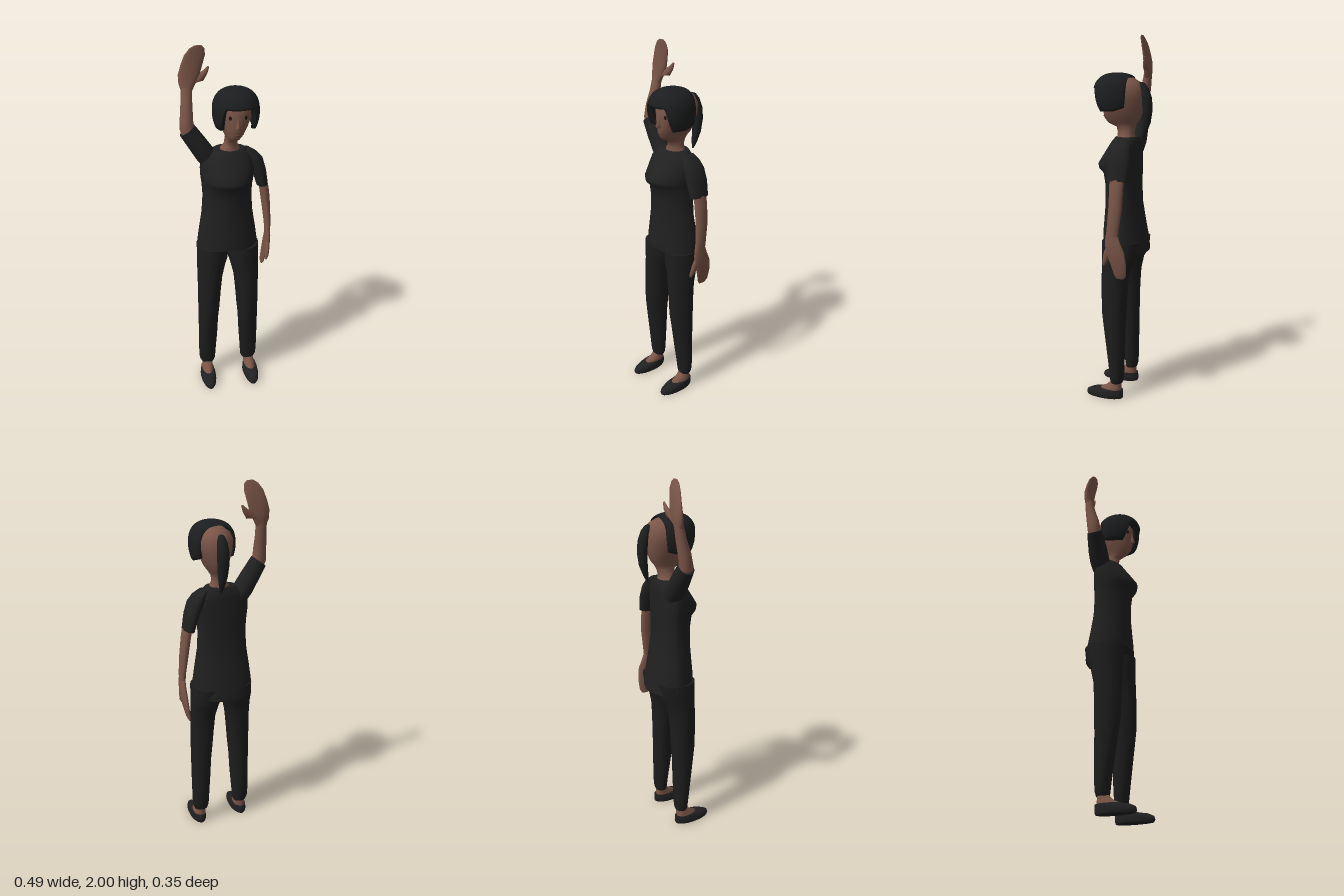
import * as THREE from 'three';

const mat = (name, color, side = THREE.FrontSide) => {
  const m = new THREE.MeshStandardMaterial({ color, side });
  m.name = name;
  return m;
};

// Skin a stack of rings, lowest first, and cap both ends.
// Ring: [x, y, z, half width, depth to front, depth to back, tilt about z, front rise]
function loft(rings, n = 20) {
  const pos = [], idx = [];
  const addRing = ([x, y, z, rx, zf, zb, tilt = 0, rise = 0]) => {
    for (let j = 0; j < n; j++) {
      const a = (j / n) * Math.PI * 2, s = Math.sin(a), dx = rx * Math.cos(a);
      pos.push(x + dx * Math.cos(tilt), y + dx * Math.sin(tilt) + rise * s, z + s * (s > 0 ? zf : zb));
    }
  };
  rings.forEach(addRing);
  for (let i = 0; i < rings.length - 1; i++) {
    for (let j = 0; j < n; j++) {
      const a = i * n + j, b = i * n + (j + 1) % n;
      idx.push(a, a + n, b, a + n, b + n, b);
    }
  }
  [rings[0], rings[rings.length - 1]].forEach((r, top) => {
    const start = pos.length / 3;
    addRing(r);
    pos.push(r[0], r[1], r[2]);
    for (let j = 0; j < n; j++) {
      const a = start + j, b = start + (j + 1) % n;
      idx.push(start + n, ...(top ? [b, a] : [a, b]));
    }
  });
  return surface(pos, idx);
}

function surface(pos, idx) {
  const g = new THREE.BufferGeometry();
  g.setAttribute('position', new THREE.Float32BufferAttribute(pos, 3));
  g.setIndex(idx);
  g.computeVertexNormals();
  return g;
}

// How far down the hair reaches at an angle from the front (1 = widest level)
function hairLimit(deg) {
  const mix = THREE.MathUtils.mapLinear;
  if (deg < 38) return 0.84;
  if (deg < 52) return mix(deg, 38, 52, 0.86, 1.34);
  if (deg < 95) return 1.4;
  if (deg < 126) return mix(deg, 95, 126, 1.4, 1.3);
  const c = Math.abs(Math.cos(deg * Math.PI / 180));
  return Math.asin(Math.min(1, Math.pow(0.6 / c, 1.25))) / (Math.PI / 2);
}

// Bobbed cap of hair, open over the face and the back of the head
function hairCap() {
  const cols = 72, rows = 16, pos = [], idx = [];
  for (let i = 0; i <= rows + 1; i++) {
    for (let j = 0; j < cols; j++) {
      const deg = (j / cols) * 360 - 180, t = deg * Math.PI / 180;
      const s = hairLimit(Math.abs(deg)) * Math.min(i / rows, 1);
      const psi = Math.min(s, 1) * Math.PI / 2, low = Math.max(s - 1, 0);
      let r = Math.pow(Math.sin(psi), 0.8) * (1 - 0.8 * low * low);
      const y = 1.68 + 0.12 * Math.pow(Math.max(Math.cos(psi), 0), 0.8) - 0.2 * low;
      if (i > rows) r *= 0.78; // edge turned in towards the head
      pos.push(0.038 + 0.122 * r * Math.sin(t), y, 0.02 + 0.132 * r * Math.cos(t));
    }
  }
  for (let i = 0; i <= rows; i++) {
    for (let j = 0; j < cols; j++) {
      const a = i * cols + j, b = i * cols + (j + 1) % cols;
      idx.push(a, a + cols, b, a + cols, b + cols, b);
    }
  }
  return surface(pos, idx);
}

export function createModel() {
  const model = new THREE.Group();
  const skin = mat('skin', 0x7a5548);
  const shirt = mat('shirt black', 0x202021);
  const trouser = mat('trouser black', 0x1d1d1e);
  const hair = mat('hair black', 0x1c1d1e, THREE.DoubleSide);
  const shoe = mat('shoe black', 0x222122);
  const eye = mat('eye dark', 0x1a1412);
  const lip = mat('lip brown', 0x643f37);

  const add = (name, geometry, material, parent = model) => {
    const m = new THREE.Mesh(geometry, material);
    m.name = name;
    parent.add(m);
    return m;
  };

  // Shirt body, with a bust and a hem that dips at the back
  add('shirt', loft([
    [0, 0.868, -0.03, 0.172, 0.135, 0.112, 0, 0.036],
    [0, 0.92, -0.03, 0.168, 0.135, 0.108, 0, 0.03],
    [0, 1.0, -0.03, 0.157, 0.13, 0.088, 0, 0.015],
    [0, 1.1, -0.03, 0.141, 0.125, 0.068],
    [0, 1.2, -0.03, 0.134, 0.127, 0.065],
    [0, 1.265, -0.03, 0.138, 0.137, 0.066],
    [0, 1.29, -0.03, 0.141, 0.165, 0.066],
    [0, 1.315, -0.03, 0.144, 0.17, 0.066],
    [0, 1.36, -0.03, 0.146, 0.14, 0.066],
    [0, 1.41, -0.03, 0.14, 0.105, 0.066],
    [0.003, 1.44, -0.03, 0.118, 0.085, 0.064],
    [0.01, 1.462, -0.03, 0.085, 0.065, 0.056],
  ], 28), shirt);

  // Legs and feet
  for (const side of [-1, 1]) {
    const leg = new THREE.Group();
    leg.name = side < 0 ? 'rightLeg' : 'leftLeg';
    model.add(leg);
    const mirrored = rings => loft(rings.map(([x, ...rest]) => [x * side, ...rest]));
    add('trouserLeg', mirrored([
      [0.124, 0.09, -0.005, 0.038, 0.032, 0.032],
      [0.125, 0.11, -0.005, 0.047, 0.036, 0.038],
      [0.125, 0.16, -0.005, 0.05, 0.042, 0.042],
      [0.12, 0.3, 0, 0.055, 0.056, 0.05],
      [0.117, 0.42, 0, 0.058, 0.073, 0.052],
      [0.113, 0.5, 0, 0.062, 0.084, 0.055],
      [0.109, 0.6, 0, 0.066, 0.086, 0.058],
      [0.104, 0.7, 0, 0.071, 0.087, 0.066],
      [0.095, 0.775, -0.01, 0.08, 0.097, 0.075],
      [0.088, 0.82, -0.01, 0.087, 0.1, 0.105],
      [0.087, 0.9, -0.01, 0.087, 0.1, 0.115],
    ]), trouser, leg);
    add('foot', mirrored([
      [0.13, 0.03, 0.01, 0.036, 0.085, 0.045],
      [0.129, 0.054, 0.01, 0.034, 0.078, 0.043],
      [0.127, 0.068, 0, 0.031, 0.056, 0.033],
      [0.125, 0.1, -0.005, 0.029, 0.028, 0.028],
    ]), skin, leg);
    add('shoe', mirrored([
      [0.13, 0, 0.05, 0.04, 0.118, 0.09],
      [0.13, 0.012, 0.05, 0.045, 0.125, 0.095],
      [0.13, 0.03, 0.05, 0.044, 0.119, 0.095],
      [0.13, 0.044, 0.045, 0.041, 0.095, 0.089],
      [0.13, 0.051, 0.03, 0.038, 0.068, 0.073],
    ]), shoe, leg);
  }

  // Left arm, hanging
  const leftArm = new THREE.Group();
  leftArm.name = 'leftArm';
  model.add(leftArm);
  add('leftSleeve', loft([
    [0.196, 1.24, -0.035, 0.031, 0.055, 0.057, 0.2],
    [0.178, 1.32, -0.035, 0.037, 0.063, 0.062, 0.25],
    [0.153, 1.385, -0.033, 0.043, 0.062, 0.06, 0.15],
    [0.13, 1.425, -0.03, 0.037, 0.052, 0.052],
    [0.105, 1.45, -0.03, 0.024, 0.036, 0.038],
  ]), shirt, leftArm);
  add('leftForearm', loft([
    [0.23, 0.94, -0.018, 0.015, 0.034, 0.034],
    [0.229, 1.0, -0.024, 0.018, 0.034, 0.034],
    [0.222, 1.1, -0.034, 0.023, 0.037, 0.037],
    [0.21, 1.2, -0.036, 0.026, 0.038, 0.038],
    [0.197, 1.27, -0.035, 0.025, 0.04, 0.04],
  ]), skin, leftArm);
  add('leftHand', loft([
    [0.207, 0.72, -0.058, 0.004, 0.02, 0.02],
    [0.212, 0.74, -0.058, 0.009, 0.034, 0.034],
    [0.222, 0.8, -0.05, 0.014, 0.042, 0.046],
    [0.23, 0.87, -0.035, 0.017, 0.052, 0.053],
    [0.231, 0.92, -0.022, 0.016, 0.042, 0.044],
    [0.23, 0.96, -0.018, 0.015, 0.034, 0.034],
  ]), skin, leftArm);
  add('leftThumb', loft([
    [0.216, 0.79, 0.032, 0.005, 0.006, 0.006],
    [0.22, 0.81, 0.028, 0.011, 0.012, 0.014],
    [0.226, 0.86, 0.012, 0.013, 0.018, 0.025],
    [0.23, 0.91, -0.005, 0.011, 0.015, 0.02],
  ], 12), skin, leftArm);

  // Right arm, raised and waving
  const rightArm = new THREE.Group();
  rightArm.name = 'rightArm';
  model.add(rightArm);
  add('rightSleeve', loft([
    [-0.085, 1.39, -0.035, 0.052, 0.05, 0.05, 0.6],
    [-0.118, 1.435, -0.035, 0.054, 0.055, 0.055, 0.64],
    [-0.16, 1.5, -0.033, 0.051, 0.052, 0.052, 0.64],
    [-0.208, 1.572, -0.03, 0.047, 0.042, 0.042, 0.64],
  ]), shirt, rightArm);
  add('rightForearm', loft([
    [-0.198, 1.555, -0.03, 0.042, 0.036, 0.036, 0.64],
    [-0.21, 1.59, -0.032, 0.039, 0.037, 0.037, 0.4],
    [-0.208, 1.65, -0.042, 0.034, 0.035, 0.035, 0.1],
    [-0.204, 1.72, -0.058, 0.03, 0.028, 0.028],
    [-0.2, 1.79, -0.07, 0.03, 0.022, 0.022],
  ]), skin, rightArm);
  add('rightHand', loft([
    [-0.2, 1.77, -0.067, 0.029, 0.021, 0.021],
    [-0.196, 1.805, -0.073, 0.044, 0.021, 0.021],
    [-0.186, 1.85, -0.075, 0.056, 0.019, 0.019],
    [-0.172, 1.9, -0.072, 0.056, 0.015, 0.015],
    [-0.156, 1.95, -0.066, 0.053, 0.01, 0.01],
    [-0.145, 1.985, -0.058, 0.038, 0.006, 0.006],
    [-0.14, 2.0, -0.055, 0.018, 0.003, 0.003],
  ]), skin, rightArm);
  add('rightThumb', loft([
    [-0.168, 1.8, -0.077, 0.024, 0.014, 0.014, 0.7],
    [-0.13, 1.828, -0.082, 0.024, 0.015, 0.015, -0.7],
    [-0.102, 1.855, -0.086, 0.015, 0.011, 0.011, -0.6],
    [-0.083, 1.883, -0.088, 0.005, 0.005, 0.005, -0.5],
  ], 12), skin, rightArm);

  // Head and neck
  const head = new THREE.Group();
  head.name = 'head';
  model.add(head);
  add('headAndNeck', loft([
    [0.013, 1.44, -0.025, 0.062, 0.055, 0.05],
    [0.015, 1.468, -0.022, 0.05, 0.05, 0.046],
    [0.018, 1.485, -0.02, 0.036, 0.045, 0.048],
    [0.022, 1.515, -0.02, 0.034, 0.05, 0.055],
    [0.027, 1.535, -0.01, 0.038, 0.085, 0.075],
    [0.03, 1.56, -0.01, 0.054, 0.105, 0.095],
    [0.034, 1.6, -0.01, 0.07, 0.113, 0.11],
    [0.037, 1.66, -0.01, 0.09, 0.115, 0.12],
    [0.038, 1.71, -0.01, 0.096, 0.115, 0.117],
    [0.038, 1.75, -0.01, 0.078, 0.09, 0.098],
    [0.038, 1.775, -0.01, 0.04, 0.05, 0.055],
  ], 28), skin, head);
  add('nose', loft([
    [0.035, 1.603, 0.1, 0.007, 0.012, 0.01],
    [0.035, 1.612, 0.1, 0.014, 0.023, 0.01],
    [0.035, 1.625, 0.1, 0.01, 0.017, 0.01],
    [0.035, 1.665, 0.1, 0.005, 0.006, 0.01],
  ], 12), skin, head);
  for (const side of [-1, 1]) {
    const e = add(side < 0 ? 'rightEye' : 'leftEye', new THREE.SphereGeometry(1, 14, 10), eye, head);
    e.scale.set(0.008, 0.011, 0.0045);
    e.position.set(0.036 + side * 0.04, 1.665, 0.0935);
    e.rotation.y = side * 0.4;
  }
  const mouth = add('mouth', new THREE.SphereGeometry(1, 14, 10), lip, head);
  mouth.scale.set(0.017, 0.005, 0.004);
  mouth.position.set(0.032, 1.573, 0.0965);

  // Hair and ponytail
  add('hairCap', hairCap(), hair, head);
  add('ponytail', loft([
    [0.042, 1.45, -0.12, 0.004, 0.004, 0.004],
    [0.042, 1.48, -0.128, 0.014, 0.013, 0.014],
    [0.042, 1.54, -0.142, 0.025, 0.022, 0.024],
    [0.041, 1.61, -0.148, 0.032, 0.025, 0.028],
    [0.041, 1.67, -0.143, 0.032, 0.025, 0.028],
    [0.04, 1.72, -0.128, 0.026, 0.022, 0.025],
    [0.04, 1.745, -0.117, 0.016, 0.014, 0.016],
    [0.04, 1.752, -0.113, 0.006, 0.006, 0.006],
  ], 16), hair, head);

  return model;
}
